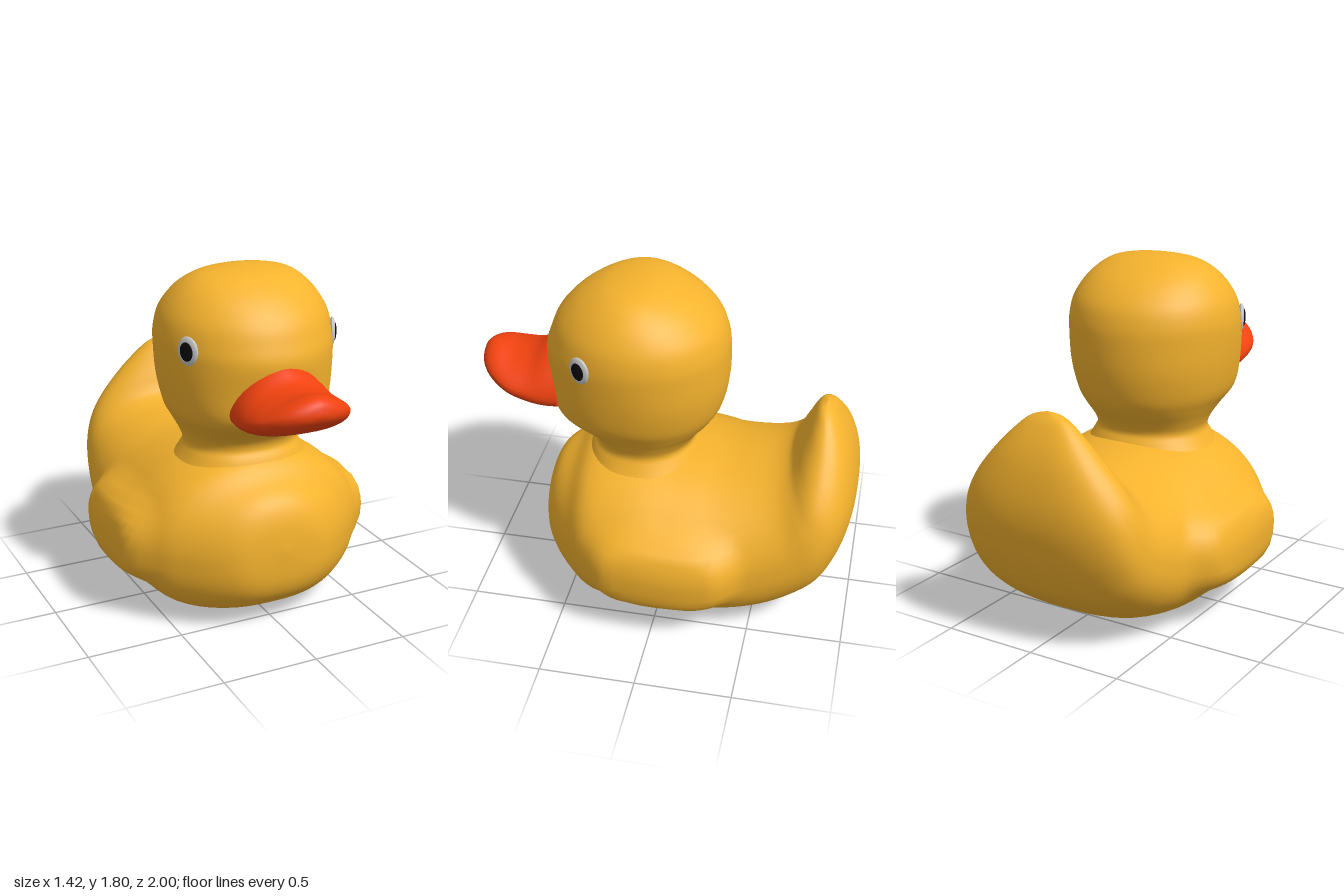
import * as THREE from 'three';

const YELLOW = 0xf5b32e, ORANGE = 0xf0420f;

// Smoothly interpolates every column of a table of cross-sections.
function sampler(rows) {
  const curves = rows[0].map((_, c) =>
    new THREE.SplineCurve(rows.map((r, i) => new THREE.Vector2(i, r[c]))));
  return t => curves.map(c => c.getPoint(t).y);
}

// Skins closed rings, point(section, angle) -> [x, y, z], and closes both ends.
function loft(rows, steps, segs, point) {
  const at = sampler(rows), pos = [], index = [];
  const id = (i, j) => i * segs + (j % segs);
  for (let i = 0; i <= steps; i++) {
    const s = at(i / steps);
    for (let j = 0; j < segs; j++) pos.push(...point(s, (j / segs) * Math.PI * 2));
  }
  for (let i = 0; i < steps; i++) {
    for (let j = 0; j < segs; j++) {
      const a = id(i, j), b = id(i, j + 1), c = id(i + 1, j), d = id(i + 1, j + 1);
      index.push(a, b, c, b, d, c);
    }
  }
  for (const [ring, flip] of [[0, true], [steps, false]]) {
    const centre = [0, 0, 0];
    for (let j = 0; j < segs; j++)
      for (let k = 0; k < 3; k++) centre[k] += pos[id(ring, j) * 3 + k] / segs;
    const c = pos.length / 3;
    pos.push(...centre);
    for (let j = 0; j < segs; j++) {
      const a = id(ring, j), b = id(ring, j + 1);
      index.push(...(flip ? [b, a, c] : [a, b, c]));
    }
  }
  const g = new THREE.BufferGeometry();
  g.setAttribute('position', new THREE.Float32BufferAttribute(pos, 3));
  g.setIndex(index);
  g.computeVertexNormals();
  return g;
}

// Superellipse: returns [sine-like, cosine-like] for an angle and exponent.
function superEllipse(a, n) {
  const f = v => Math.sign(v) * Math.pow(Math.abs(v), 2 / n);
  return [f(Math.sin(a)), f(Math.cos(a))];
}

function mesh(name, geometry, color) {
  const m = new THREE.Mesh(geometry, new THREE.MeshStandardMaterial({ color }));
  m.name = name;
  return m;
}

// Body and tail: [outer z, outer y, inner z, inner y, half width], chest to tail tip
function bodyGeometry() {
  const rows = [
    [0.67, 0.42, 0.67, 0.46, 0.02],
    [0.655, 0.26, 0.65, 0.60, 0.20],
    [0.60, 0.155, 0.60, 0.70, 0.32],
    [0.48, 0.07, 0.50, 0.77, 0.46],
    [0.32, 0.02, 0.38, 0.86, 0.59],
    [0.10, 0.01, 0.15, 0.89, 0.625],
    [-0.15, 0.01, -0.10, 0.86, 0.625],
    [-0.38, 0.02, -0.30, 0.84, 0.60],
    [-0.62, 0.085, -0.45, 0.85, 0.565],
    [-0.84, 0.23, -0.56, 0.87, 0.53],
    [-0.94, 0.41, -0.63, 0.90, 0.505],
    [-0.99, 0.60, -0.66, 0.94, 0.46],
    [-0.995, 0.76, -0.68, 0.99, 0.39],
    [-0.965, 0.92, -0.71, 1.06, 0.29],
    [-0.92, 1.04, -0.735, 1.12, 0.20],
    [-0.86, 1.14, -0.765, 1.17, 0.11],
    [-0.815, 1.185, -0.805, 1.19, 0.01],
  ];
  return loft(rows, 80, 64, ([oz, oy, iz, iy, w], a) => {
    const [s, c] = superEllipse(a, Math.cos(a) > 0 ? 2 : 2.6);
    const t = c > 0 ? 0.46 + 0.54 * c : 0.46 + 0.46 * c;
    const y = oy + (iy - oy) * t, z = oz + (iz - oz) * t;
    // raised wing on each side
    const d = Math.pow(Math.abs((z + 0.05) / 0.4) ** 3 + Math.abs((y - 0.41) / 0.235) ** 3, 1 / 3);
    const wing = 0.08 * (1 - THREE.MathUtils.smoothstep(d, 0.7, 1.1));
    return [w * s + wing * Math.sign(s) * Math.min(1, Math.abs(s) * 2), y, z];
  });
}

// Head and neck: [y, front z, back z, half width], bottom to top
function headGeometry() {
  const rows = [
    [0.77, 0.45, -0.20, 0.37],
    [0.85, 0.42, -0.155, 0.32],
    [0.90, 0.395, -0.13, 0.30],
    [0.96, 0.42, -0.16, 0.32],
    [1.03, 0.51, -0.22, 0.36],
    [1.11, 0.605, -0.265, 0.405],
    [1.25, 0.62, -0.295, 0.435],
    [1.40, 0.645, -0.30, 0.45],
    [1.50, 0.62, -0.29, 0.448],
    [1.60, 0.575, -0.25, 0.42],
    [1.70, 0.48, -0.15, 0.35],
    [1.77, 0.36, -0.02, 0.255],
    [1.798, 0.25, 0.08, 0.13],
    [1.805, 0.17, 0.15, 0.01],
  ];
  return loft(rows, 60, 48, ([y, zf, zb, w], a) => {
    // fuller cheeks behind the beak
    const cheek = 0.3 * (1 - THREE.MathUtils.smoothstep(y, 1.2, 1.42));
    const [s, c] = superEllipse(a, Math.cos(a) > 0 ? 2 + cheek : 2);
    return [w * s, y, (zf + zb) / 2 + ((zf - zb) / 2) * c];
  });
}

// Beak: [z, top y, corner y, bottom y, half width], tip to base
function beakGeometry() {
  const rows = [
    [1.00, 1.285, 1.275, 1.265, 0.02],
    [0.985, 1.325, 1.27, 1.235, 0.09],
    [0.95, 1.348, 1.26, 1.20, 0.155],
    [0.90, 1.35, 1.24, 1.165, 0.205],
    [0.82, 1.335, 1.21, 1.13, 0.25],
    [0.72, 1.35, 1.185, 1.097, 0.263],
    [0.63, 1.405, 1.17, 1.082, 0.262],
    [0.55, 1.42, 1.17, 1.08, 0.255],
  ];
  return loft(rows, 32, 40, ([z, top, mid, bottom, w], a) => {
    const [s, c] = superEllipse(a, Math.cos(a) > 0 ? 1.6 : 2.4);
    return [w * s, mid + (c > 0 ? top - mid : mid - bottom) * c, z];
  });
}

// Eye: flattened white with a dark pupil, facing local +z
function eye(name) {
  const g = new THREE.Group();
  g.name = name;
  const ball = new THREE.SphereGeometry(1, 24, 16);
  const white = mesh('eyeWhite', ball, 0xd8d8d8);
  white.scale.set(0.062, 0.074, 0.018);
  const pupil = mesh('pupil', ball, 0x0a0a0a);
  pupil.scale.set(0.04, 0.049, 0.012);
  pupil.position.z = 0.011;
  g.add(white, pupil);
  return g;
}

export function createModel() {
  const duck = new THREE.Group();
  duck.name = 'bathDuck';
  duck.add(
    mesh('bodyAndTail', bodyGeometry(), YELLOW),
    mesh('head', headGeometry(), YELLOW),
    mesh('beak', beakGeometry(), ORANGE),
  );
  for (const side of [-1, 1]) {
    const e = eye(side > 0 ? 'leftEye' : 'rightEye');
    e.position.set(side * 0.396, 1.465, 0.385);
    e.rotation.set(0, side * 1.09, 0);
    duck.add(e);
  }
  return duck;
}
